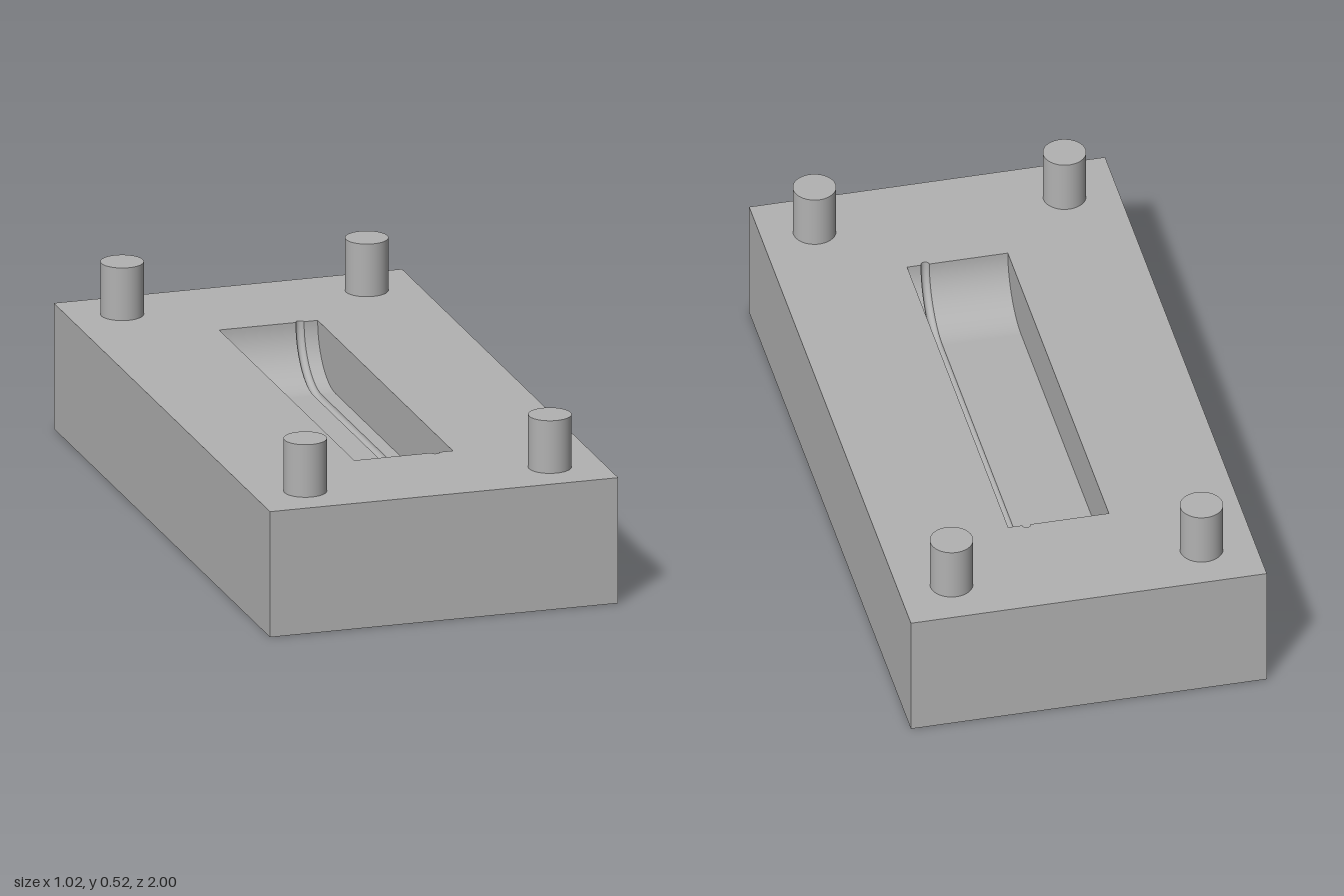
import * as THREE from 'three';

const W = 1.025, H = 0.37, L = 2;             // block
const CX = 0.145, CZ = 0.625, R = 0.165;      // cavity half width, half length, depth and end radius
const GX = 0.093, GR = 0.012;                 // groove centre and radius

export function createModel() {
  const group = new THREE.Group();
  const grey = new THREE.MeshStandardMaterial({ color: 0xb2b2b2 });
  grey.name = 'grey';
  const add = (name, geometry) => {
    const mesh = new THREE.Mesh(geometry, grey);
    mesh.name = name;
    group.add(mesh);
    return mesh;
  };

  // Block sides and base: a box without its top face
  const box = new THREE.BoxGeometry(W, H, L).translate(0, H / 2, 0);
  const index = Array.from(box.index.array);
  index.splice(12, 6);
  box.setIndex(index);
  box.clearGroups();
  add('blockSides', box);

  // Cavity path along z: rounded front end, flat floor, rounded back end
  const path = [];
  const N = 20;
  for (let i = 0; i <= N; i++) {
    const a = (i / N) * Math.PI / 2;
    path.push({ z: CZ - R + R * Math.cos(a), y: H - R * Math.sin(a), nz: Math.cos(a), ny: -Math.sin(a) });
  }
  for (let i = N; i >= 0; i--) {
    const p = path[i];
    path.push({ ...p, z: -p.z, nz: -p.nz });
  }

  // Cross-sections across x: [x, outward offset]
  const groove = [];
  for (let i = 0; i <= 12; i++) {
    const a = Math.PI * (1 - i / 12);
    groove.push([GX + GR * Math.cos(a), GR * Math.sin(a)]);
  }
  const sections = {
    cavityFloorWide: [[-CX, 0], groove[0]],
    cavityGroove: groove,
    cavityFloorNarrow: [groove[12], [CX, 0]],
  };
  for (const [name, section] of Object.entries(sections)) {
    const pos = [], idx = [], n = section.length;
    path.forEach((p, i) => section.forEach(([x, d], j) => {
      pos.push(x, p.y + p.ny * d, p.z + p.nz * d);
      if (i < path.length - 1 && j < n - 1) {
        const a = i * n + j;
        idx.push(a, a + 1, a + n, a + 1, a + n + 1, a + n);
      }
    }));
    const geo = new THREE.BufferGeometry();
    geo.setAttribute('position', new THREE.Float32BufferAttribute(pos, 3));
    geo.setIndex(idx);
    geo.computeVertexNormals();
    add(name, geo);
  }

  // Upright side walls of the cavity
  const profile = new THREE.Shape(path.map(p => new THREE.Vector2(p.z, p.y)));
  for (const s of [-1, 1]) {
    const wall = new THREE.ShapeGeometry(profile).rotateY(-s * Math.PI / 2).translate(s * CX, 0, 0);
    add(s < 0 ? 'cavityWallRight' : 'cavityWallLeft', wall);
  }

  // Top face with the cavity opening
  const top = new THREE.Shape([[-1, -1], [1, -1], [1, 1], [-1, 1]]
    .map(([x, y]) => new THREE.Vector2(x * W / 2, y * L / 2)));
  const rim = [[-CX, 0], ...groove, [CX, 0]];
  top.holes.push(new THREE.Path([
    ...rim.map(([x, d]) => new THREE.Vector2(x, CZ + d)),
    ...rim.slice().reverse().map(([x, d]) => new THREE.Vector2(x, -CZ - d)),
  ]));
  add('blockTop', new THREE.ShapeGeometry(top).rotateX(-Math.PI / 2).translate(0, H, 0));

  // Locating pegs at the corners
  const peg = new THREE.CylinderGeometry(0.061, 0.061, 0.155, 48);
  for (const x of [-0.36, 0.36]) {
    for (const z of [-0.847, 0.847]) add('peg', peg).position.set(x, H + 0.0775, z);
  }
  return group;
}
